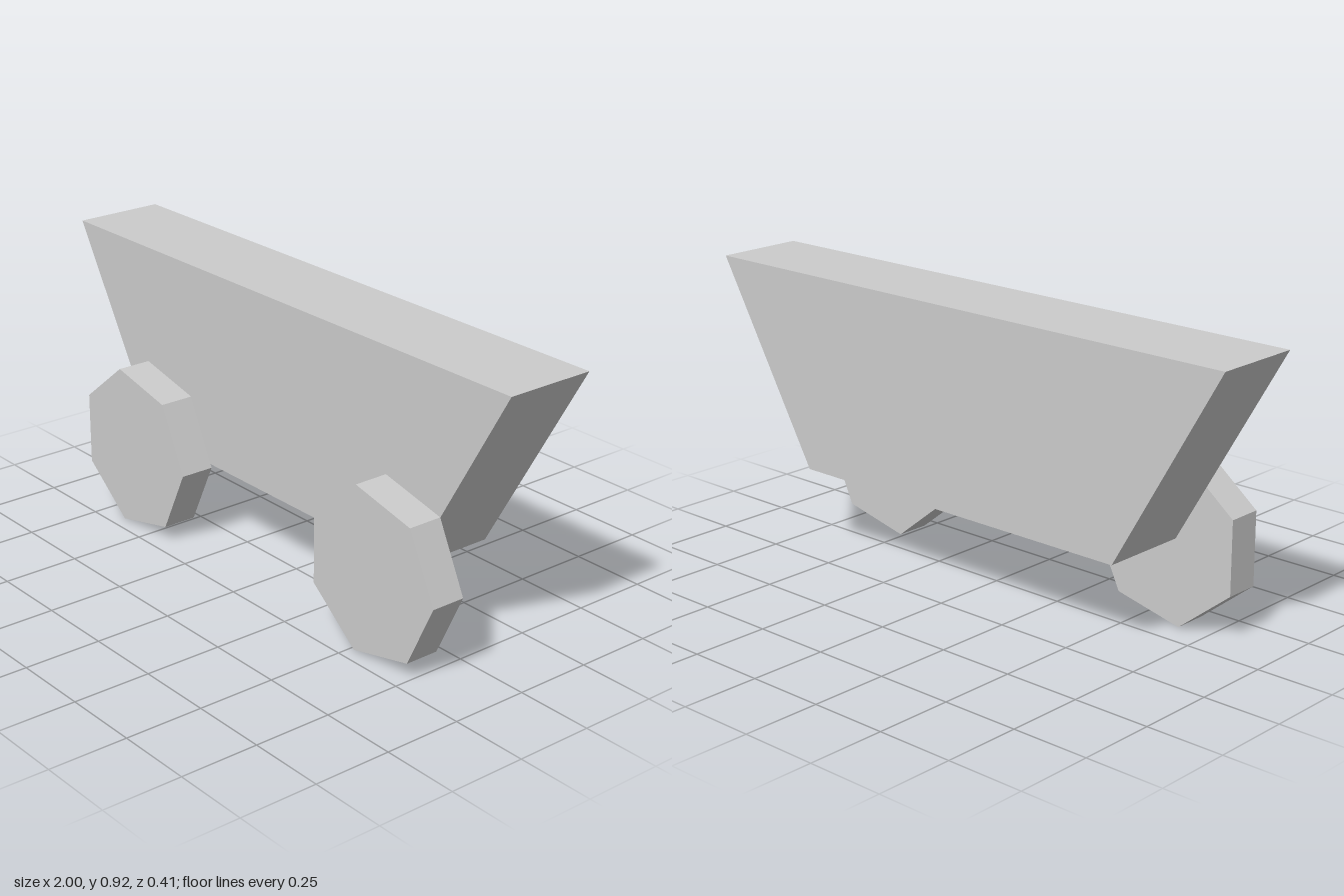
import * as THREE from 'three';

export function createModel() {
  const group = new THREE.Group();
  const material = new THREE.MeshStandardMaterial({ color: 0xcccccc, flatShading: true });

  // Tub: a trapezoid, wider at the top, extruded front to back
  const profile = new THREE.Shape([
    new THREE.Vector2(-0.627, 0.275),
    new THREE.Vector2(0.627, 0.275),
    new THREE.Vector2(1, 0.917),
    new THREE.Vector2(-1, 0.917),
  ]);
  const tubGeometry = new THREE.ExtrudeGeometry(profile, { depth: 0.293, bevelEnabled: false });
  tubGeometry.translate(0, 0, -0.203);
  const tub = new THREE.Mesh(tubGeometry, material);
  tub.name = 'cartBody';
  group.add(tub);

  // Wheels: seven-sided discs on the front face, one corner pointing to +x
  const wheelGeometry = new THREE.CylinderGeometry(0.271, 0.271, 0.113, 7);
  wheelGeometry.rotateX(Math.PI / 2).rotateZ(Math.PI / 2);
  for (const [name, x] of [['rightWheel', -0.586], ['leftWheel', 0.574]]) {
    const wheel = new THREE.Mesh(wheelGeometry, material);
    wheel.name = name;
    wheel.position.set(x, 0.264, 0.1465);
    group.add(wheel);
  }

  return group;
}
